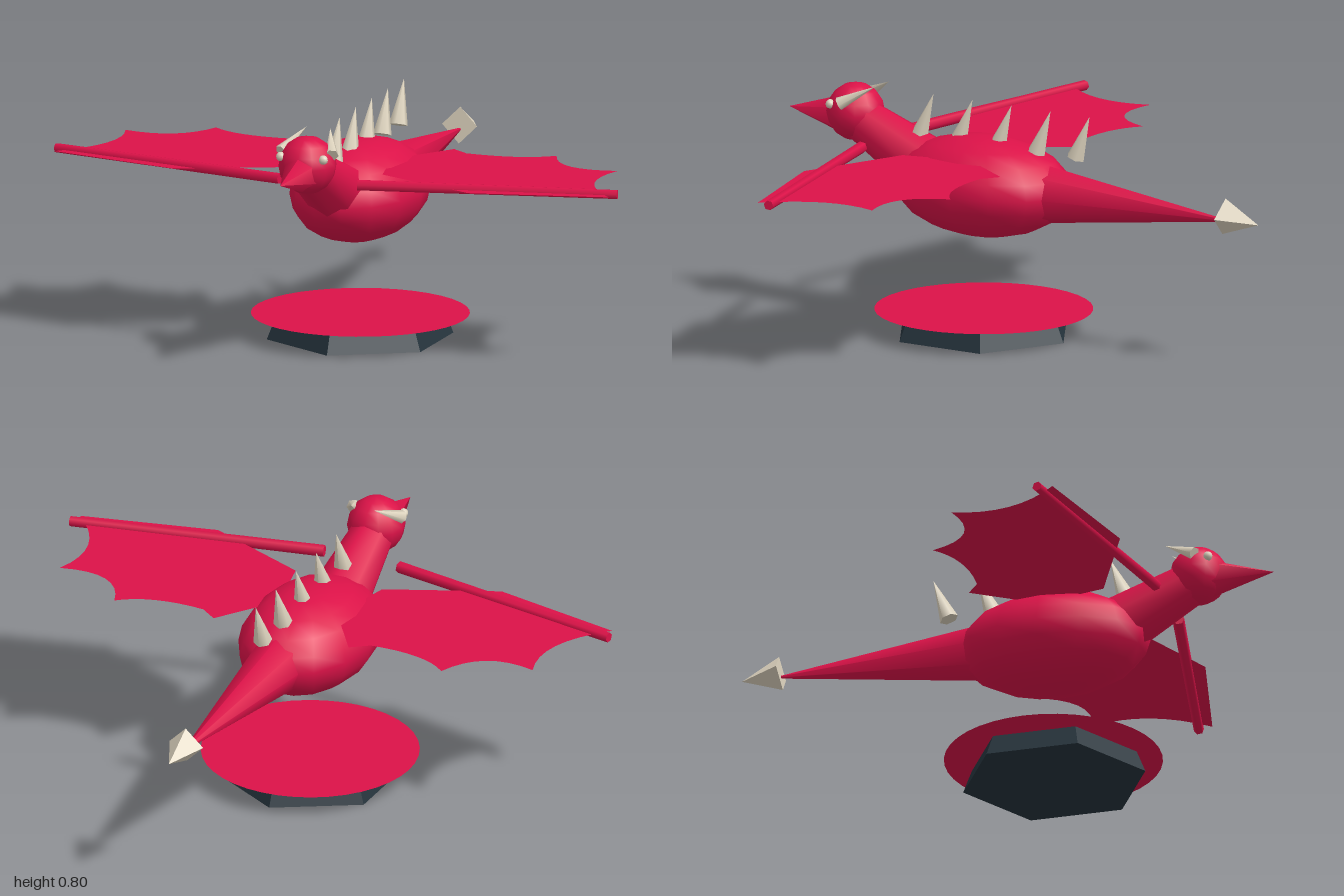
import * as THREE from 'three';

const red = new THREE.MeshStandardMaterial({ color: 0xdc1248 });
red.name = 'crimson hide';
red.side = THREE.DoubleSide;
const bone = new THREE.MeshStandardMaterial({ color: 0xddd3be });
bone.name = 'bone';
const slate = new THREE.MeshStandardMaterial({ color: 0x26343d });
slate.name = 'dark slate';

// Gives every face its own normal
function faceted(geometry) {
  const g = geometry.toNonIndexed();
  g.computeVertexNormals();
  return g;
}

export function createModel() {
  const model = new THREE.Group();
  model.name = 'flyingDragon';

  function add(name, geometry, material) {
    const mesh = new THREE.Mesh(geometry, material);
    mesh.name = name;
    model.add(mesh);
    return mesh;
  }

  // Tapered rod or cone running from point a to point b
  function rod(name, a, b, ra, rb, sides, material, flat = false) {
    const start = new THREE.Vector3(...a);
    const dir = new THREE.Vector3(...b).sub(start);
    let g = new THREE.CylinderGeometry(rb, ra, dir.length(), sides);
    if (flat) g = faceted(g);
    const mesh = add(name, g, material);
    mesh.position.copy(start).addScaledVector(dir, 0.5);
    mesh.quaternion.setFromUnitVectors(new THREE.Vector3(0, 1, 0), dir.normalize());
    return mesh;
  }

  // Stand
  add('base', faceted(new THREE.CylinderGeometry(0.285, 0.315, 0.075, 6)), slate)
    .position.set(0, 0.0375, 0.16);
  const disc = add('baseDisc', new THREE.CircleGeometry(0.365, 40).rotateX(-Math.PI / 2), red);
  disc.position.set(0, 0.08, 0.157);

  // Body, neck, head and snout
  const body = add('body', new THREE.SphereGeometry(1, 14, 10), red);
  body.scale.set(0.22, 0.17, 0.328);
  body.position.set(0, 0.503, 0.16);
  rod('neck', [0, 0.54, 0.38], [0, 0.67, 0.64], 0.105, 0.075, 8, red);
  add('head', new THREE.SphereGeometry(0.098, 12, 8), red).position.set(0, 0.692, 0.66);
  rod('snout', [0, 0.675, 0.66], [0, 0.675, 0.92], 0.082, 0, 6, red);

  // Tail and its spade tip
  rod('tail', [0, 0.503, -0.08], [0, 0.503, -0.8], 0.1, 0.003, 8, red);
  rod('tailSpade', [0, 0.517, -0.785], [0, 0.503, -0.92], 0.062, 0, 4, bone, true);

  // Row of back spines
  for (let i = 0; i < 5; i++) {
    const z = 0.408 - i * 0.153;
    rod('backSpine', [0, 0.643, z], [0, 0.79, z - 0.054], 0.032, 0, 6, bone);
  }

  // Wing membrane, drawn in x and z, with a scalloped trailing edge
  const wing = new THREE.Shape();
  wing.moveTo(0.12, 0.2);
  wing.lineTo(0.15, 0.08);
  wing.lineTo(0.25, -0.065);
  wing.lineTo(0.31, -0.02);
  wing.quadraticCurveTo(0.51, 0.0, 0.605, -0.09);
  wing.quadraticCurveTo(0.67, 0.11, 0.875, 0.05);
  wing.quadraticCurveTo(0.8, 0.25, 0.985, 0.43);
  wing.lineTo(0.525, 0.535);
  wing.lineTo(0.16, 0.375);

  for (const s of [1, -1]) {
    const side = s > 0 ? 'left' : 'right';
    const g = new THREE.ShapeGeometry(wing, 8).rotateX(Math.PI / 2);
    if (s < 0) g.rotateZ(Math.PI).scale(1, -1, 1);
    // Keep the surface normals pointing up on both sides
    const index = g.index.array;
    const up = new THREE.Vector3();
    const p = [0, 1, 2].map((k) => new THREE.Vector3().fromBufferAttribute(g.attributes.position, index[k]));
    up.crossVectors(p[1].sub(p[0]), p[2].sub(p[0]));
    if (up.y < 0) for (let i = 0; i < index.length; i += 3) [index[i], index[i + 1]] = [index[i + 1], index[i]];
    g.computeVertexNormals();
    add(side + 'WingMembrane', g, red).position.y = 0.61;

    rod(side + 'WingSpar', [s * 0.138, 0.61, 0.55], [s * 0.997, 0.61, 0.38], 0.02, 0.017, 6, red);
    rod(side + 'Horn', [s * 0.09, 0.733, 0.67], [s * 0.042, 0.797, 0.555], 0.023, 0, 6, bone);
    add(side + 'Eye', new THREE.SphereGeometry(0.016, 8, 6), bone).position.set(s * 0.076, 0.725, 0.712);
  }

  return model;
}
